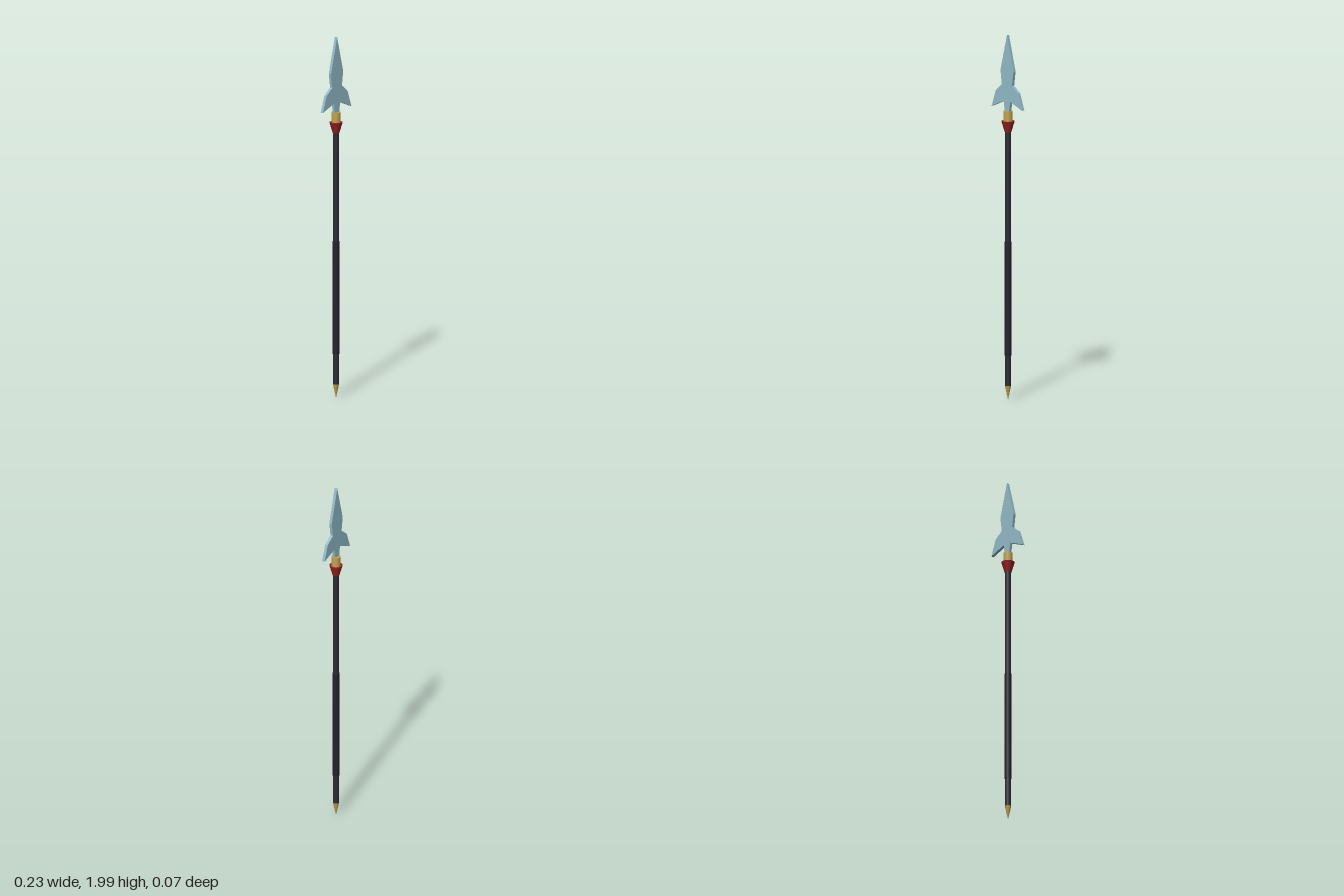
import * as THREE from 'three';

const material = (color) => new THREE.MeshStandardMaterial({ color });

export function createModel() {
  const spear = new THREE.Group();
  spear.name = 'spear';

  const dark = material(0x2c2a34);
  const wrap = material(0x24222b);
  const gold = material(0xc4a252);
  const red = material(0x9c2323);
  const steel = material(0x93bcc9);

  // Turned part spanning y0..y1 with bottom and top radii
  function turned(name, y0, y1, rBottom, rTop, mat, sides = 24) {
    const geometry = new THREE.CylinderGeometry(rTop, rBottom, y1 - y0, sides);
    const mesh = new THREE.Mesh(geometry, mat);
    mesh.position.y = (y0 + y1) / 2;
    mesh.name = name;
    spear.add(mesh);
  }

  turned('buttSpike', 0.01, 0.085, 0.001, 0.017, gold);
  turned('shaft', 0.085, 1.48, 0.017, 0.017, dark);
  turned('grip', 0.25, 0.87, 0.019, 0.019, wrap);
  turned('flaredCollar', 1.47, 1.53, 0.018, 0.036, red);
  turned('socket', 1.53, 1.585, 0.025, 0.025, gold);

  // Flat barbed blade: right-hand outline from tip to tang, mirrored
  const half = [
    [0.048, 1.805], [0.038, 1.727], [0.083, 1.69], [0.113, 1.6],
    [0.024, 1.638], [0.015, 1.575],
  ];
  const mirrored = half.map(([x, y]) => [-x, y]).reverse();
  const outline = [[0, 2], ...half, ...mirrored].map(([x, y]) => new THREE.Vector2(x, y));
  const depth = 0.017;
  const bladeGeometry = new THREE.ExtrudeGeometry(new THREE.Shape(outline), {
    depth, bevelEnabled: false,
  });
  bladeGeometry.translate(0, 0, -depth / 2);
  const blade = new THREE.Mesh(bladeGeometry, steel);
  blade.name = 'blade';
  spear.add(blade);

  return spear;
}
